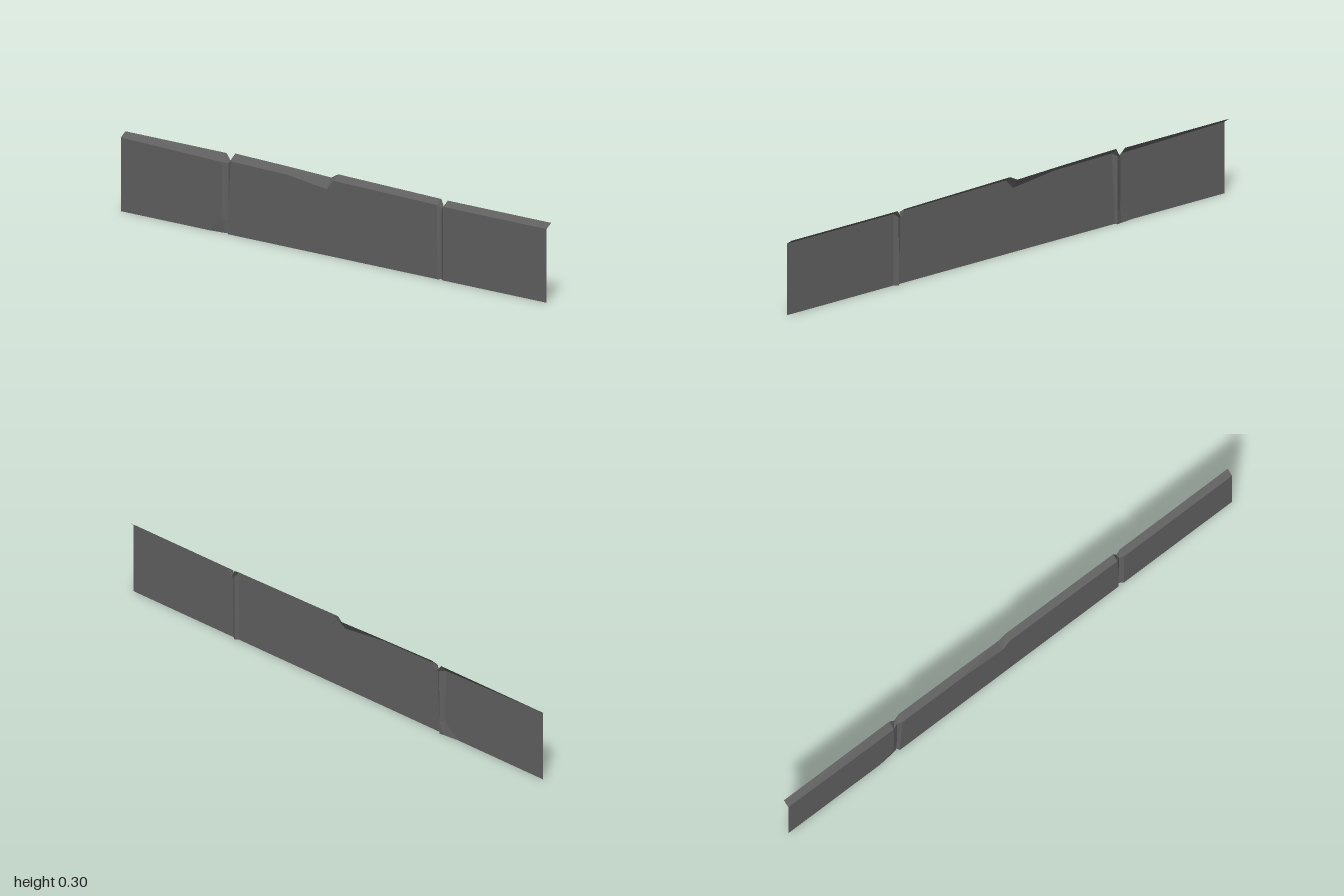
import * as THREE from 'three';

const FRONT = 0.0125, BACK = -0.0125, GROOVE = 0.002, CHIP_TOP = 0.05;

// Stations along the wall: [x at base, x at top, face z, lip front y, lip back y, base z]
const stations = [
  [-1, -1, FRONT, 0.268, 0.286],
  [-0.585, -0.585, FRONT, 0.259, 0.286],
  [-0.523, -0.525, FRONT, 0.257, 0.286, 0.006], // chipped foot
  [-0.503, -0.502, GROOVE, 0.256, 0.257],
  [-0.497, -0.484, FRONT, 0.267, 0.291],
  [-0.22, -0.22, FRONT, 0.263, 0.285],
  [-0.033, -0.033, FRONT, 0.241, 0.279],
  [0, 0, FRONT, 0.277, 0.296],
  [0.488, 0.484, FRONT, 0.27, 0.287],
  [0.497, 0.498, GROOVE, 0.256, 0.257],
  [0.513, 0.514, FRONT, 0.268, 0.286],
  [1, 1, FRONT, 0.268, 0.286],
];

// Sheet between cross-sections; each section runs from the bottom up
function sheet(sections) {
  const p = [];
  for (let i = 0; i + 1 < sections.length; i++) {
    const a = sections[i], b = sections[i + 1];
    for (let j = 0; j + 1 < a.length; j++) {
      p.push(...a[j], ...b[j], ...b[j + 1], ...a[j], ...b[j + 1], ...a[j + 1]);
    }
  }
  const g = new THREE.BufferGeometry();
  g.setAttribute('position', new THREE.Float32BufferAttribute(p, 3));
  g.computeVertexNormals();
  return g;
}

export function createModel() {
  const group = new THREE.Group();
  group.name = 'wall';
  const stone = new THREE.MeshStandardMaterial({ color: 0x606060, side: THREE.DoubleSide });
  stone.name = 'dark grey stone';

  const add = (name, section) => {
    const mesh = new THREE.Mesh(sheet(stations.map(section)), stone);
    mesh.name = name;
    group.add(mesh);
  };

  // Upright face with its two vertical grooves
  add('wallFace', ([x0, x1, z, yf, , zb = z]) => [
    [x0, 0, zb],
    [x0, CHIP_TOP, z],
    [x1, yf, z],
  ]);

  // Lip sloping up and back, notched above the grooves
  add('slopedLip', ([, x1, z, yf, yb]) => [
    [x1, yf, z],
    [x1, yb, BACK],
  ]);

  return group;
}
